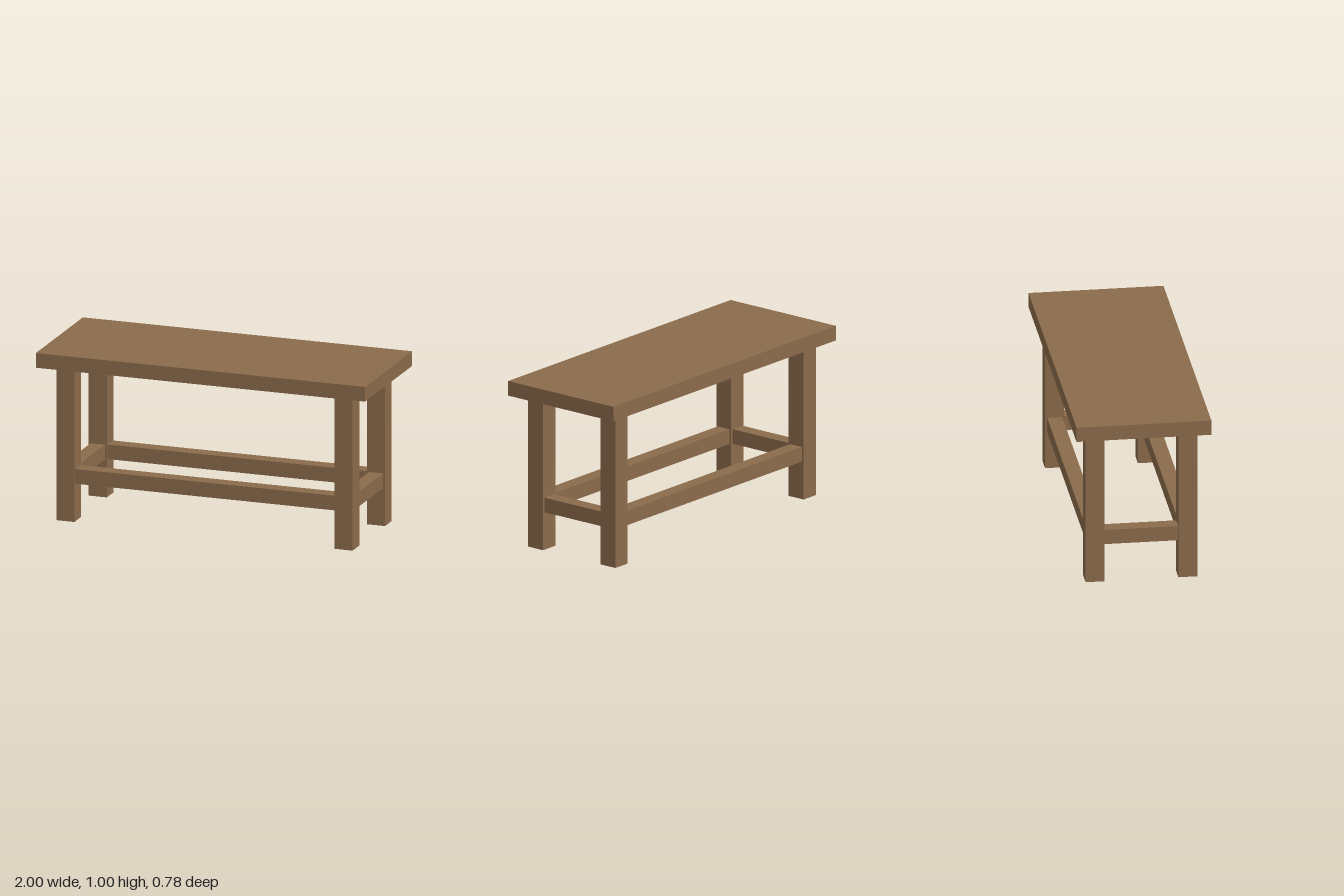
import * as THREE from 'three';

export function createModel() {
  const group = new THREE.Group();
  const wood = new THREE.MeshStandardMaterial({ color: 0x8b6b4b });

  function addBox(name, size, position) {
    const mesh = new THREE.Mesh(new THREE.BoxGeometry(...size), wood);
    mesh.name = name;
    mesh.position.set(...position);
    group.add(mesh);
  }

  const topThickness = 0.087;
  const legWidth = 0.11;
  const legHeight = 1 - topThickness;
  const legX = 0.845; // leg centres
  const legZ = 0.267;
  const rail = 0.087; // square stretcher section
  const railY = 0.268;

  // Table top
  addBox('tableTop', [2, topThickness, 0.776], [0, 1 - topThickness / 2, 0]);

  // Four square legs
  for (const [xName, sx] of [['Left', 1], ['Right', -1]]) {
    for (const [zName, sz] of [['front', 1], ['back', -1]]) {
      addBox(`${zName}${xName}Leg`, [legWidth, legHeight, legWidth], [sx * legX, legHeight / 2, sz * legZ]);
    }
  }

  // Stretchers running between the legs, centred on them
  const longSpan = 2 * legX - legWidth;
  const shortSpan = 2 * legZ - legWidth;
  for (const [name, s] of [['front', 1], ['back', -1]]) {
    addBox(`${name}Stretcher`, [longSpan, rail, rail], [0, railY, s * legZ]);
  }
  for (const [name, s] of [['left', 1], ['right', -1]]) {
    addBox(`${name}Stretcher`, [rail, rail, shortSpan], [s * legX, railY, 0]);
  }

  return group;
}
